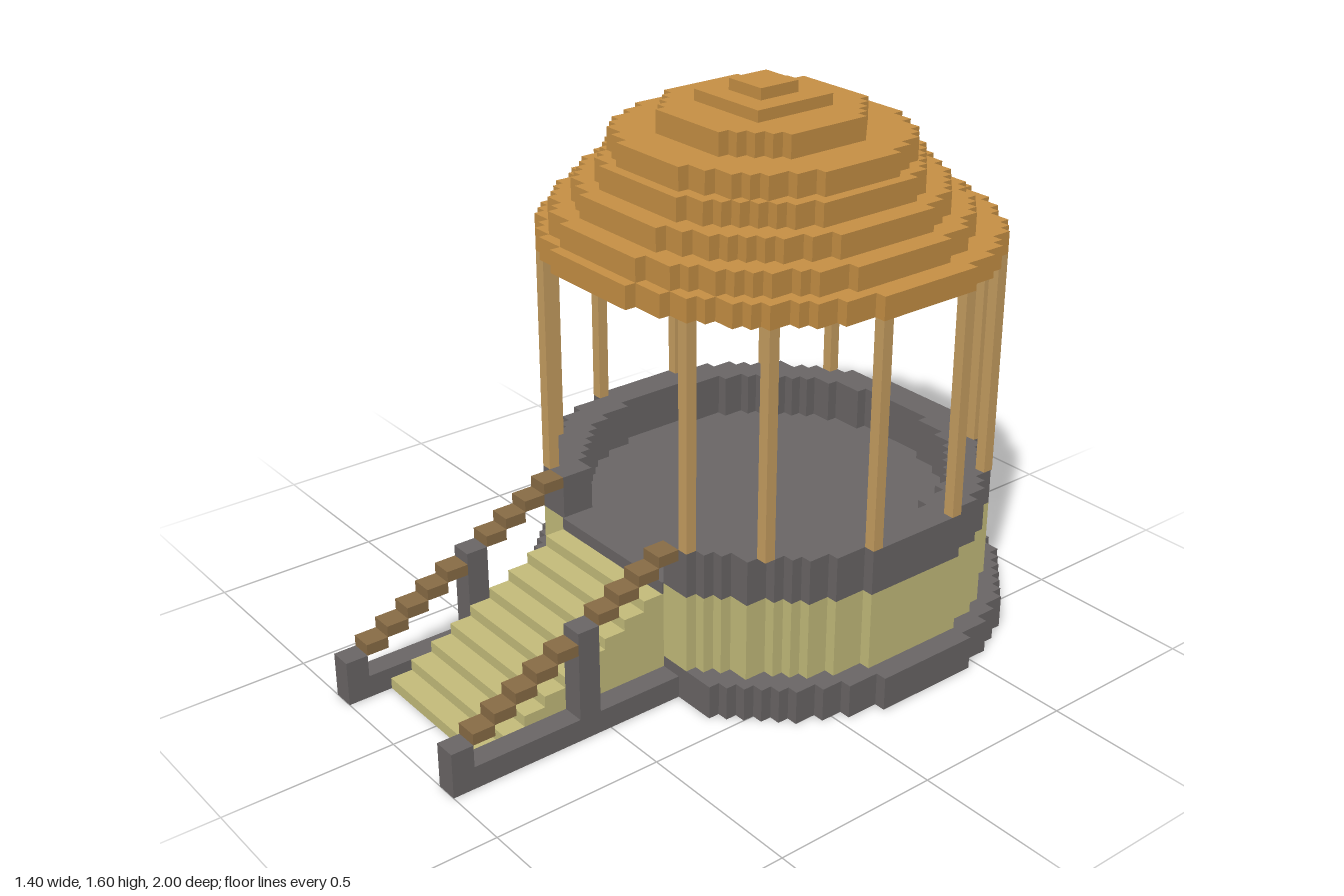
import * as THREE from 'three';

// All dimensions are in blocks; 30 blocks make one unit.
const U = 1 / 30;
const CENTRE = -9; // z of the round pavilion's middle

const mat = (name, color) => {
  const m = new THREE.MeshStandardMaterial({ color });
  m.name = name;
  return m;
};

// Half width of the block row from z = j to j + 1 in a stepped disc
const discHalf = (r, slack) => (j) => {
  const d2 = (r + slack) ** 2 - (j + 0.5) ** 2;
  return d2 < 0.25 ? 0 : Math.floor(Math.sqrt(d2) + 0.5);
};

// Stepped edge on the +x side, from the back row to the front row
function edge(half, from, to) {
  const pts = [];
  for (let j = from; j < to; j++) {
    pts.push([half(j), j], [half(j), j + 1]);
  }
  return pts.filter((p, i) => !(i > 0 && i < pts.length - 1 &&
    pts[i - 1][0] === p[0] && pts[i + 1][0] === p[0]));
}
const mirror = (pts) => pts.map(([x, z]) => [-x, z]).reverse();

export function createModel() {
  const model = new THREE.Group();
  const stone = mat('dark stone', 0x6b6767);
  const plaster = mat('pale plaster', 0xc6be7c);
  const thatch = mat('roof orange', 0xc89145);
  const timber = mat('post timber', 0xc9a062);
  const railWood = mat('rail brown', 0x8a6d46);

  function add(name, geometry, material) {
    const mesh = new THREE.Mesh(geometry, material);
    mesh.name = name;
    model.add(mesh);
    return mesh;
  }

  // Box given by its limits in blocks
  function box(name, material, x0, x1, y0, y1, z0, z1) {
    const g = new THREE.BoxGeometry((x1 - x0) * U, (y1 - y0) * U, (z1 - z0) * U);
    g.translate((x0 + x1) / 2 * U, (y0 + y1) / 2 * U, (z0 + z1) / 2 * U);
    return add(name, g, material);
  }

  // Plan outline raised from y0 to y1
  function slab(name, material, pts, y0, y1, zc = CENTRE) {
    const shape = new THREE.Shape(pts.map(([x, z]) => new THREE.Vector2(x * U, -(z + zc) * U)));
    const g = new THREE.ExtrudeGeometry(shape, { depth: (y1 - y0) * U, bevelEnabled: false });
    g.rotateX(-Math.PI / 2);
    g.translate(0, y0 * U, 0);
    return add(name, g, material);
  }
  const full = (half, from, to) => {
    const e = edge(half, from, to);
    return [...e, ...mirror(e)];
  };

  // Plinth and drum, cut flat where the stairs meet them
  const wallHalf = discHalf(19, 0.1);
  slab('plinth', stone, full(discHalf(21, 0.1), -21, 17), 0, 3);
  slab('drumWall', plaster, full(wallHalf, -19, 17), 3, 10);

  // Parapet with an opening at the front, and the floor inside it
  const room = discHalf(16, 0);
  const innerHalf = (j) => (j > 0 ? Math.max(room(j), 7) : room(j));
  const outer = edge(wallHalf, -19, 17);
  const inner = edge(innerHalf, -16, 17);
  slab('parapet', stone,
    [...mirror(outer), ...outer, ...[...inner].reverse(), ...mirror(inner).reverse()], 10, 14);
  slab('floor', stone, [...inner, ...mirror(inner)], 10, 10.1);
  box('threshold', stone, -7, 7, 9, 10.1, 8, 8.15);

  // Twelve posts standing on the parapet
  for (const [x, dz] of [[18.5, 4.5], [14.5, 12.5], [9.5, 16.5]]) {
    for (const sx of [-1, 1]) {
      for (const sz of [-1, 1]) {
        const px = x * sx, pz = CENTRE + dz * sz;
        box('post', timber, px - 0.5, px + 0.5, 14, 34, pz - 0.5, pz + 0.5);
      }
    }
  }

  // Stepped dome: radius, bottom, top, middle
  const tiers = [
    [19, 34, 36, -9], [17, 36, 38, -8], [15, 38, 40, -8],
    [13, 40, 42, -8], [12, 42, 44, -8], [8, 44, 46, -8],
  ];
  for (const [r, y0, y1, zc] of tiers) {
    slab('roofTier', thatch, full(discHalf(r, 0.3), -r, r), y0, y1, zc);
  }
  box('roofCap', thatch, -4, 4, 46, 47, -12, -4);
  box('roofFinial', thatch, -2, 2, 47, 48, -10, -6);

  // Stairs as one stepped profile, nine treads
  const profile = [[8, 0], [26, 0]];
  for (let i = 0; i < 9; i++) {
    profile.push([26 - 2 * i, i + 1], [24 - 2 * i, i + 1]);
  }
  const stairShape = new THREE.Shape(profile.map(([z, y]) => new THREE.Vector2(z * U, y * U)));
  const stairs = new THREE.ExtrudeGeometry(stairShape, { depth: 14 * U, bevelEnabled: false });
  stairs.rotateY(-Math.PI / 2);
  stairs.translate(7 * U, 0, 0);
  add('stairs', stairs, plaster);

  // Kerb, newels and stepped handrail on both sides
  for (const s of [-1, 1]) {
    const x0 = s > 0 ? 7 : -9, x1 = x0 + 2;
    box('stairKerb', stone, x0, x1, 0, 2, 8, 28);
    box('frontNewel', stone, x0, x1, 0, 4, 28, 30);
    box('middleNewel', stone, x0, x1, 2, 10, 16, 18);
    for (let k = 0; k < 10; k++) {
      if (k === 4) continue; // the middle newel takes this place
      box('handrailBlock', railWood, x0, x1, 13 - k, 14 - k, 8 + 2 * k, 10 + 2 * k);
    }
  }
  return model;
}
